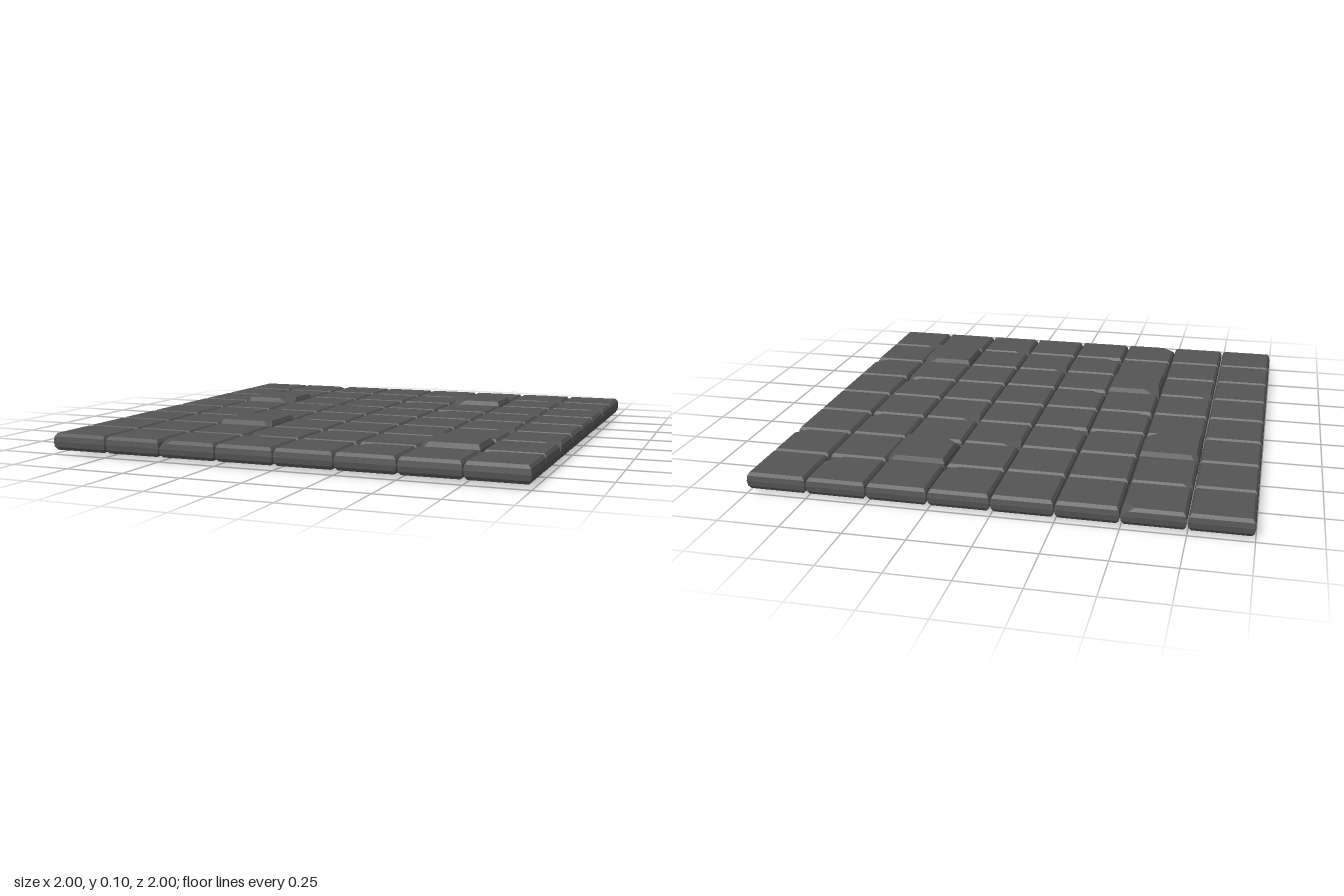
import * as THREE from 'three';

const N = 8, PITCH = 0.25, MID = 0.0525;

// One bevelled slab; cut[] is the chip size at each corner of the top, under[] the same below
// Corner order: 0 back left edge (-x,-z), 1 (+x,-z), 2 (+x,+z), 3 (-x,+z)
function tileGeometry(halfHeight, cut, under) {
  const profile = [ // height, inset, share of the chip
    [-halfHeight, 0.013, 1], [-halfHeight * 0.62, 0.004, 0.62], [0, 0.001, 0],
    [halfHeight * 0.62, 0.004, 0.62], [halfHeight, 0.013, 1],
  ];
  const rings = profile.map(([y, inset, share]) => {
    const h = PITCH / 2 - inset;
    const c = (y < 0 ? under : cut).map((s) => 0.002 + s * share);
    return [
      [-h, -h + c[0]], [-h + c[0], -h], [h - c[1], -h], [h, -h + c[1]],
      [h, h - c[2]], [h - c[2], h], [-h + c[3], h], [-h, h - c[3]],
    ].map(([x, z]) => [x, y, z]);
  });
  const pos = [];
  const tri = (a, b, c) => pos.push(...a, ...b, ...c);
  const last = rings.length - 1;
  for (let i = 0; i < 8; i++) {
    const j = (i + 1) % 8;
    for (let r = 0; r < last; r++) {
      const a = rings[r], b = rings[r + 1];
      tri(a[j], a[i], b[i]);
      tri(a[j], b[i], b[j]);
    }
    tri([0, halfHeight, 0], rings[last][j], rings[last][i]);
    tri([0, -halfHeight, 0], rings[0][i], rings[0][j]);
  }
  const geo = new THREE.BufferGeometry();
  geo.setAttribute('position', new THREE.Float32BufferAttribute(pos, 3));
  geo.computeVertexNormals();
  return geo;
}

// Chipped corners: 'column,row' -> [corner, size] pairs
const chips = {
  '1,0': [[1, 0.04]], '4,0': [[2, 0.05]], '6,0': [[2, 0.06]],
  '1,1': [[0, 0.025]], '5,1': [[3, 0.06], [1, 0.02]], '7,1': [[2, 0.045]],
  '1,2': [[2, 0.06], [0, 0.02]], '2,2': [[2, 0.025]], '3,2': [[3, 0.06]],
  '4,2': [[0, 0.06]], '6,2': [[2, 0.04]],
  '5,3': [[0, 0.06]], '2,3': [[3, 0.05]],
  '3,4': [[3, 0.05]], '6,4': [[2, 0.06]],
  '1,5': [[0, 0.035]], '2,5': [[0, 0.05], [2, 0.025]], '6,5': [[1, 0.025]], '7,5': [[2, 0.05]],
  '3,6': [[3, 0.06]], '4,6': [[0, 0.04]], '6,6': [[1, 0.055], [3, 0.025]],
  '5,7': [[0, 0.06]], '7,7': [[0, 0.04]], '2,7': [[3, 0.045]],
};
// Thicker slabs standing proud of the floor on both faces
const thick = new Set(['5,1', '1,2', '2,5', '6,6']);

export function createModel() {
  const floor = new THREE.Group();
  floor.name = 'stoneFloor';
  const stone = new THREE.MeshStandardMaterial({ color: 0x555555 });
  stone.name = 'darkStone';

  for (let row = 0; row < N; row++) {
    for (let col = 0; col < N; col++) {
      const key = `${col},${row}`;
      const cut = [0, 0, 0, 0], under = [0, 0, 0, 0];
      for (const [corner, size] of chips[key] ?? []) {
        cut[corner] = size;
        if (thick.has(key)) under[corner] = size;
      }
      const tile = new THREE.Mesh(tileGeometry(thick.has(key) ? MID : 0.035, cut, under), stone);
      tile.name = `${thick.has(key) ? 'raisedTile' : 'tile'}_${row}_${col}`;
      tile.position.set((col + 0.5) * PITCH - 1, MID, (row + 0.5) * PITCH - 1);
      floor.add(tile);
    }
  }
  return floor;
}
